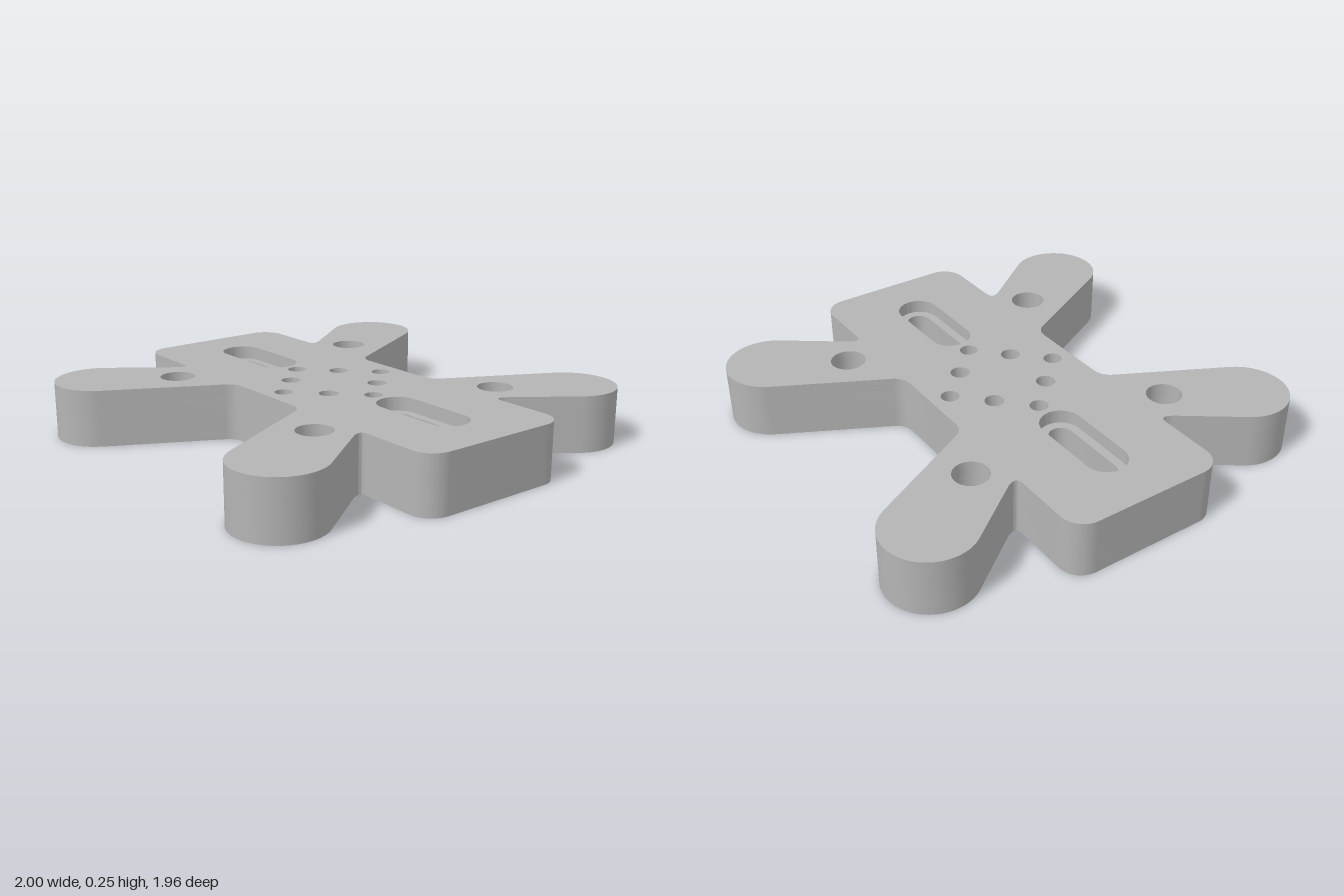
import * as THREE from 'three';
import { toCreasedNormals } from 'three/addons/utils/BufferGeometryUtils.js';

// One quarter of the outline (+x, +z), from the waist round the arm to the plate's end
function quarterPoints() {
  const s = new THREE.Shape();
  s.moveTo(0.18, 0.36);
  s.quadraticCurveTo(0.23, 0.36, 0.255, 0.4);
  s.lineTo(0.503, 0.878);
  s.absarc(0.675, 0.785, 0.195, 2.646, -0.621, true);
  s.lineTo(0.645, 0.415);
  s.quadraticCurveTo(0.61, 0.36, 0.665, 0.36);
  s.lineTo(0.9, 0.36);
  s.absarc(0.9, 0.26, 0.1, Math.PI / 2, 0, true);
  return s.getPoints(20);
}

// Mirror the quarter into the full four-armed outline
function outline() {
  const q = quarterPoints();
  const mirror = (sx, sz) => q.map(p => new THREE.Vector2(p.x * sx, p.y * sz));
  return new THREE.Shape([
    ...mirror(1, 1), ...mirror(1, -1).reverse(),
    ...mirror(-1, -1), ...mirror(-1, 1).reverse(),
  ]);
}

function circle(x, z, r) {
  const p = new THREE.Path();
  p.absarc(x, z, r, 0, Math.PI * 2, false);
  return p;
}

function slot(cx, halfLength, r) {
  const p = new THREE.Path();
  const d = halfLength - r;
  p.absarc(cx + d, 0, r, -Math.PI / 2, Math.PI / 2, false);
  p.absarc(cx - d, 0, r, Math.PI / 2, Math.PI * 1.5, false);
  p.closePath();
  return p;
}

// Shallow underside pocket, notched where the end bolt holes cross its long walls
function pocket(w, h, r) {
  const p = new THREE.Path();
  p.absarc(w - r, h - r, r, 0, Math.PI / 2, false);
  p.absarc(0, h, 0.04, 0, Math.PI, false);
  p.absarc(r - w, h - r, r, Math.PI / 2, Math.PI, false);
  p.absarc(r - w, r - h, r, Math.PI, Math.PI * 1.5, false);
  p.absarc(0, -h, 0.04, Math.PI, Math.PI * 2, false);
  p.absarc(w - r, r - h, r, Math.PI * 1.5, Math.PI * 2, false);
  p.closePath();
  return p;
}

export function createModel() {
  const group = new THREE.Group();
  const metal = new THREE.MeshStandardMaterial({ color: 0xb4b4b4 });
  metal.name = 'grey metal';

  const armHoles = () => [-1, 1].flatMap(sx => [-1, 1].map(sz => circle(0.5 * sx, 0.49 * sz, 0.077)));

  // Ring of eight bolt holes
  const boltHoles = () => {
    const holes = [];
    for (const s of [-1, 1]) {
      holes.push(circle(0.27 * s, 0, 0.04), circle(0, 0.27 * s, 0.04));
      for (const t of [-1, 1]) holes.push(circle(0.134 * s, 0.134 * t, 0.042));
    }
    return holes;
  };
  const slots = (halfLength, r) => [-1, 1].map(s => slot(0.57 * s, halfLength, r));

  const addLayer = (name, bottom, top, holes) => {
    const shape = outline();
    shape.holes.push(...armHoles(), ...holes);
    const geo = new THREE.ExtrudeGeometry(shape, { depth: top - bottom, bevelEnabled: false, curveSegments: 16 });
    geo.rotateX(Math.PI / 2).translate(0, top, 0);
    const mesh = new THREE.Mesh(toCreasedNormals(geo, 0.6), metal);
    mesh.name = name;
    group.add(mesh);
  };

  // Underside rim, slotted core and top with wider slot counterbores
  addLayer('undersideRim', 0, 0.04, [pocket(0.93, 0.27, 0.04)]);
  addLayer('slottedCore', 0.04, 0.19, [...boltHoles(), ...slots(0.195, 0.053)]);
  addLayer('topPlate', 0.19, 0.25, [...boltHoles(), ...slots(0.235, 0.092)]);

  return group;
}
